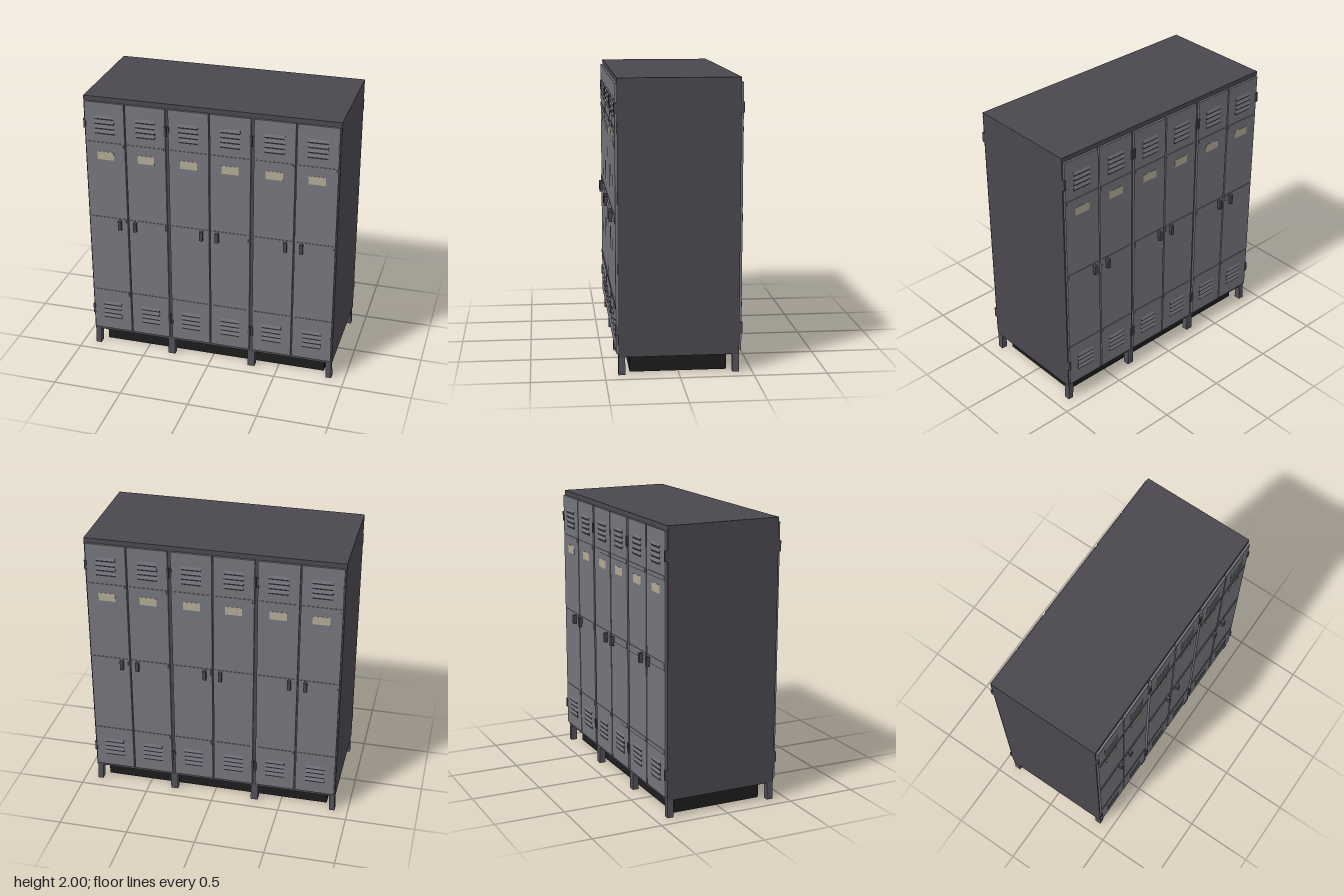
import * as THREE from 'three';

const material = (name, color) => {
  const m = new THREE.MeshStandardMaterial({ color });
  m.name = name;
  return m;
};

export function createModel() {
  const bodyPaint = material('dark grey body', 0x4a474e);
  const doorPaint = material('grey door', 0x74747c);
  const legPaint = material('leg grey', 0x525058);
  const slotPaint = material('slot shadow', 0x2a292f);
  const plinthPaint = material('black plinth', 0x1c1c1c);
  const tagPaint = material('beige label', 0xb2a994);

  const model = new THREE.Group();
  model.name = 'lockerBank';

  // Box placed by its limits on each axis
  function box(parent, name, mat, x0, x1, y0, y1, z0, z1) {
    const mesh = new THREE.Mesh(new THREE.BoxGeometry(x1 - x0, y1 - y0, z1 - z0), mat);
    mesh.position.set((x0 + x1) / 2, (y0 + y1) / 2, (z0 + z1) / 2);
    mesh.name = name;
    parent.add(mesh);
    return mesh;
  }

  // Cabinet and recessed plinth
  box(model, 'cabinet', bodyPaint, -0.905, 0.905, 0.125, 2, -0.41, 0.41);
  box(model, 'plinth', plinthPaint, -0.835, 0.835, 0, 0.125, -0.33, 0.33);

  // Legs: the corner ones splay slightly outward at the foot
  for (const z of [-0.387, 0.387]) {
    for (const x of [-0.882, -0.305, 0.305, 0.882]) {
      const corner = Math.abs(x) > 0.5;
      const w = corner ? 0.04 : 0.052;
      const leg = box(model, 'leg', legPaint, x - w / 2, x + w / 2, 0, 0.125, z - 0.023, z + 0.023);
      if (corner) {
        const p = leg.geometry.attributes.position;
        for (let i = 0; i < p.count; i++) {
          p.setX(i, p.getX(i) + Math.sign(x) * (p.getY(i) < 0 ? 0.003 : -0.003));
        }
        leg.geometry.computeVertexNormals();
      }
    }
  }

  // Louvre hood: wedge sloping out from the door, open below
  const hoodShape = new THREE.Shape([
    new THREE.Vector2(0, 0), new THREE.Vector2(0.006, 0), new THREE.Vector2(0, 0.02),
  ]);
  const hoodGeometry = new THREE.ExtrudeGeometry(hoodShape, { depth: 0.14, bevelEnabled: false });
  hoodGeometry.rotateY(-Math.PI / 2).translate(0.07, 0, 0);

  function louvres(door, bottom) {
    for (let i = 0; i < 4; i++) {
      const y = bottom + i * 0.036;
      box(door, 'ventSlot', slotPaint, -0.07, 0.07, y - 0.006, y + 0.006, 0.424, 0.4262);
      const hood = new THREE.Mesh(hoodGeometry, doorPaint);
      hood.name = 'ventHood';
      hood.position.set(0, y + 0.006, 0.425);
      door.add(hood);
    }
  }

  // Door: side is the direction of the handle, hinges sit opposite
  function makeDoor(side) {
    const door = new THREE.Group();
    door.name = 'door';
    box(door, 'doorPanel', doorPaint, -0.143, 0.143, 0.15, 1.965, 0.409, 0.425);
    for (const [y0, y1] of [[0.452, 0.482], [1.035, 1.087], [1.641, 1.67]]) {
      box(door, 'doorRail', doorPaint, -0.133, 0.133, y0, y1, 0.42, 0.429);
    }
    louvres(door, 1.736);
    louvres(door, 0.247);
    box(door, 'nameLabel', tagPaint, -0.06, 0.06, 1.538, 1.598, 0.4235, 0.4268);

    const hx = side * 0.091;
    box(door, 'handle', bodyPaint, hx - 0.012, hx + 0.012, 1.008, 1.077, 0.434, 0.456);
    box(door, 'handleStem', bodyPaint, hx - 0.01, hx + 0.01, 1.035, 1.077, 0.42, 0.44);

    const gx = -side * 0.144;
    for (const y of [0.31, 1.803]) {
      box(door, 'hinge', bodyPaint, gx - 0.008, gx + 0.008, y - 0.036, y + 0.036, 0.41, 0.431);
    }
    return door;
  }

  // Three door pairs on the front and the same on the back
  for (const turn of [0, Math.PI]) {
    const row = new THREE.Group();
    row.name = turn ? 'backDoors' : 'frontDoors';
    for (const cx of [-0.605, 0, 0.605]) {
      for (const s of [-1, 1]) {
        const door = makeDoor(-s);
        door.position.x = cx + s * 0.148;
        row.add(door);
      }
    }
    row.rotation.y = turn;
    model.add(row);
  }
  return model;
}
